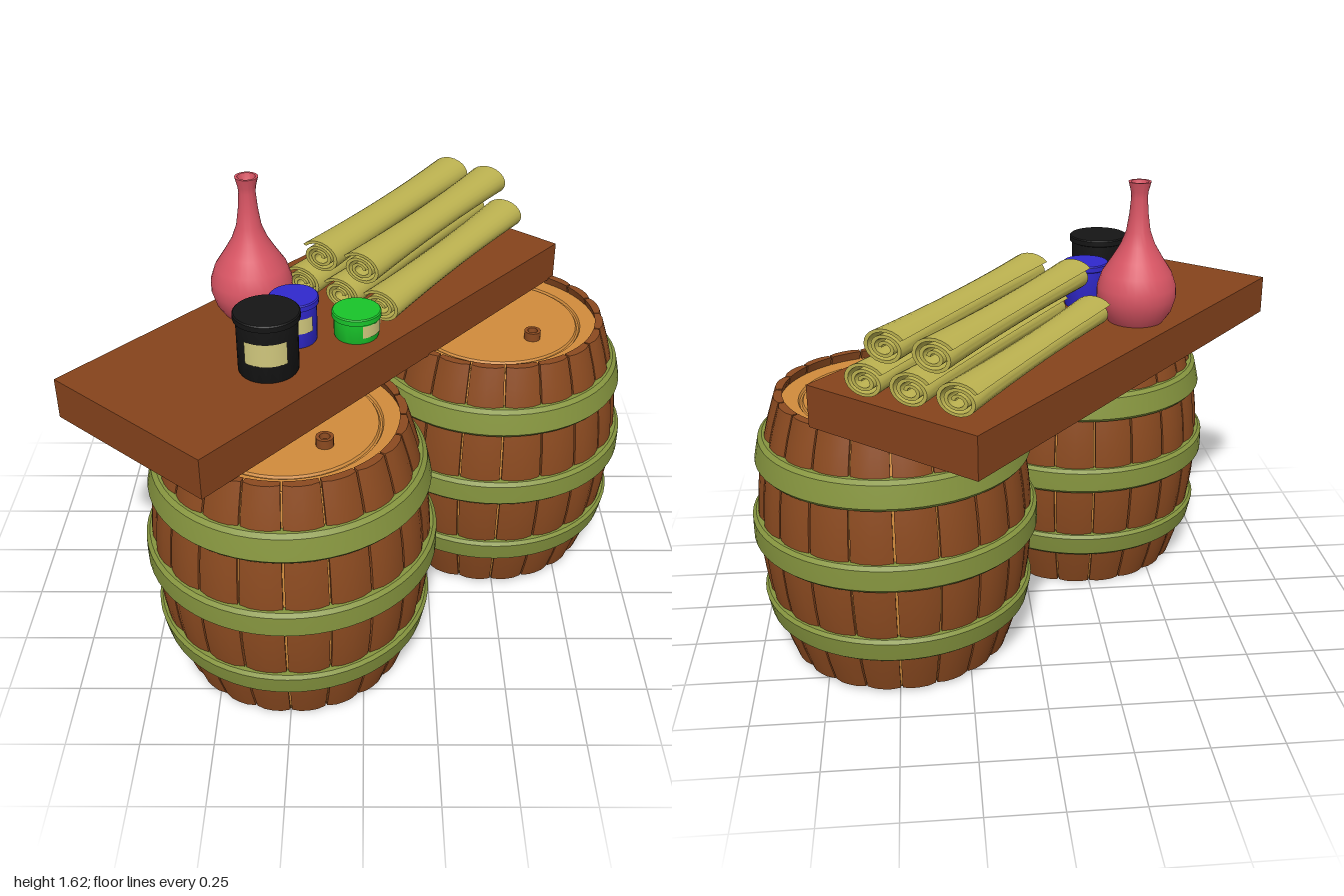
import * as THREE from 'three';
import { toCreasedNormals } from 'three/addons/utils/BufferGeometryUtils.js';

const WOOD = 0x8b4a20, PLANK = 0x86431c, LID = 0xd08b3c, IRON = 0x86953f, BASE = 0x6b4a20;
const PAPER = 0xbcb250, LABEL = 0xcfc67c;

function add(parent, name, geometry, color, x = 0, y = 0, z = 0, side = THREE.FrontSide) {
  const mesh = new THREE.Mesh(geometry, new THREE.MeshStandardMaterial({ color, side }));
  mesh.name = name;
  mesh.position.set(x, y, z);
  parent.add(mesh);
  return mesh;
}

// Lathe from [radius, height] pairs, with sharp corners kept
function lathe(pairs, segments = 48, crease = 0.6) {
  const points = pairs.map(([r, y]) => new THREE.Vector2(r, y));
  return toCreasedNormals(new THREE.LatheGeometry(points, segments), crease);
}

// Barrel outline: outer stave radius at height y
const H = 0.97;
const bulge = (y) => 0.4 + 0.085 * (1 - (2 * y / H - 1) ** 2);

// One stave: a box bent round the barrel, its outer long edges eased inward
function staveGeometry(span) {
  const g = new THREE.BoxGeometry(1, H, 1, 4, 12, 1);
  const p = g.attributes.position;
  for (let i = 0; i < p.count; i++) {
    const u = p.getX(i) * 2, y = p.getY(i) + H / 2;
    const outer = p.getZ(i) > 0;
    const r = bulge(y) - (outer ? 0.009 * Math.abs(u) ** 3 : 0.03);
    const a = u * span / 2;
    p.setXYZ(i, r * Math.sin(a), y, r * Math.cos(a));
  }
  g.computeVertexNormals();
  return g;
}

function hoopGeometry(y0, y1) {
  const e = 0.012, out = (y) => bulge(y) + 0.02;
  return lathe([
    [bulge(y0) - 0.02, y0], [out(y0) - e, y0], [out(y0 + e), y0 + e],
    [out((y0 + y1) / 2), (y0 + y1) / 2],
    [out(y1 - e), y1 - e], [out(y1) - e, y1], [bulge(y1) - 0.02, y1], [bulge(y0) - 0.02, y0],
  ], 60);
}

function barrel(name, x, y, z) {
  const group = new THREE.Group();
  group.name = name;
  group.position.set(x, y, z);

  // Staves with narrow gaps showing the paler core
  const count = 20, step = Math.PI * 2 / count;
  const stave = staveGeometry(step * 0.95);
  for (let i = 0; i < count; i++) add(group, 'stave', stave, WOOD).rotation.y = (i + 0.5) * step;

  const core = [];
  for (let i = 0; i <= 12; i++) {
    const h = 0.005 + (H - 0.03) * i / 12;
    core.push([bulge(h) - 0.02, h]);
  }
  add(group, 'core', lathe(core), LID, 0, 0, 0, THREE.DoubleSide);
  for (const [a, b] of [[0.155, 0.25], [0.445, 0.542], [0.73, 0.83]])
    add(group, 'hoop', hoopGeometry(a, b), IRON);

  // Grooved lid, bung and base
  add(group, 'lid', lathe([[0.39, 0.938], [0.318, 0.938], [0.313, 0.93], [0.306, 0.93], [0.301, 0.938], [0, 0.938]]), LID);
  add(group, 'bung', lathe([[0.03, 0.93], [0.03, 0.97], [0.018, 0.97], [0.016, 0.95], [0, 0.95]], 16), WOOD, 0.125, 0, 0.13);
  add(group, 'base', new THREE.CylinderGeometry(0.385, 0.385, 0.01, 48), BASE, 0, 0.007, 0);
  return group;
}

// Lidded jar with a curved label; facing is measured from +z towards +x
function jar(name, x, z, r, h, color, labelY, labelH, facing) {
  const group = new THREE.Group();
  group.name = name;
  group.position.set(x, 1.12, z);
  const lip = r * 1.09, rim = h - 0.022;
  add(group, 'jarBody', lathe([
    [0, 0], [r * 0.96, 0], [r, 0.008], [r, rim - 0.004], [lip, rim], [lip, h - 0.004], [lip - 0.004, h], [0, h],
  ], 32), color);
  add(group, 'label', new THREE.CylinderGeometry(r + 0.003, r + 0.003, labelH, 12, 1, true, facing - 0.72, 1.44),
    LABEL, 0, labelY, 0, THREE.DoubleSide);
  return group;
}

// Rolled sheet: a thick spiral extruded along x, slimmer in the middle
function scrollGeometry(length) {
  const turns = 2.4, n = 54, outer = [], inner = [];
  for (let i = 0; i <= n; i++) {
    const t = i / n, a = 0.6 + t * turns * Math.PI * 2;
    const r = 0.062 - 0.046 * t;
    outer.push(new THREE.Vector2(r * Math.cos(a) * 1.35, r * Math.sin(a)));
    inner.push(new THREE.Vector2((r - 0.01) * Math.cos(a) * 1.35, (r - 0.01) * Math.sin(a)));
  }
  const shape = new THREE.Shape([...outer, ...inner.reverse()]);
  const g = new THREE.ExtrudeGeometry(shape, { depth: length, steps: 8, bevelEnabled: false });
  g.translate(0, 0, -length / 2);
  const p = g.attributes.position;
  for (let i = 0; i < p.count; i++) {
    const k = 0.86 + 0.14 * (2 * p.getZ(i) / length) ** 2;
    p.setXY(i, p.getX(i) * k, p.getY(i) * k);
  }
  g.rotateY(Math.PI / 2);
  return toCreasedNormals(g, 0.7);
}

export function createModel() {
  const model = new THREE.Group();
  model.name = 'barrelTable';

  model.add(barrel('frontBarrel', -0.25, 0, 0.455), barrel('backBarrel', 0.495, 0.012, -0.21));

  add(model, 'plank', new THREE.BoxGeometry(1.9, 0.145, 0.68), PLANK, -0.123, 1.048, -0.02).rotation.y = 0.865;

  // Pile of scrolls, three below and two above
  const pile = new THREE.Group();
  pile.name = 'scrollPile';
  pile.position.set(0.17, 1.12, -0.37);
  pile.rotation.y = 0.994;
  const roll = scrollGeometry(0.93);
  for (const [y, z] of [[0.062, -0.165], [0.062, 0], [0.062, 0.165], [0.185, -0.085], [0.185, 0.085]])
    add(pile, 'scroll', roll, PAPER, 0, y, z);
  model.add(pile);

  // Long-necked bottle
  const profile = [
    [0, 0], [0.1, 0], [0.128, 0.04], [0.143, 0.09], [0.142, 0.13], [0.125, 0.18], [0.092, 0.23], [0.062, 0.28],
    [0.043, 0.33], [0.034, 0.39], [0.029, 0.45], [0.031, 0.47], [0.04, 0.505], [0.031, 0.505], [0.02, 0.46], [0, 0.45],
  ];
  add(model, 'bottle', lathe(profile, 32, 0.9), 0xd95564, -0.392, 1.12, 0.015);

  model.add(
    jar('blackJar', -0.31, 0.41, 0.101, 0.215, 0x151515, 0.105, 0.08, 0),
    jar('blueJar', -0.235, 0.215, 0.078, 0.165, 0x3028cc, 0.085, 0.055, 0.2),
    jar('greenJar', -0.025, 0.185, 0.078, 0.097, 0x18c42a, 0.047, 0.045, 1.0),
  );
  return model;
}
